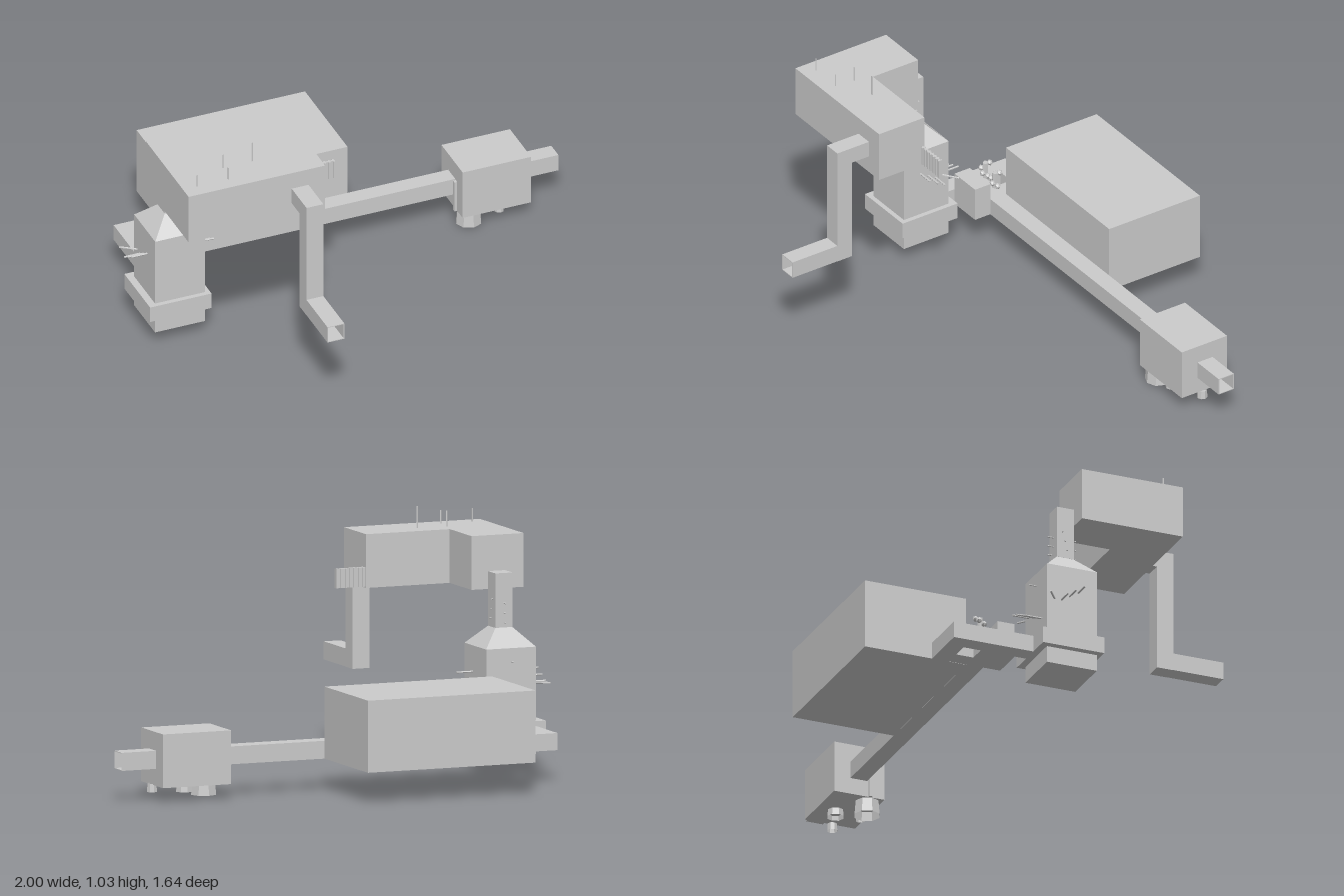
import * as THREE from 'three';

const mat = new THREE.MeshStandardMaterial({ color: 0xcccccc, flatShading: true, side: THREE.DoubleSide });

export function createModel() {
  const root = new THREE.Group();

  const add = (name, geo, parent = root) => {
    const m = new THREE.Mesh(geo, mat);
    m.name = name;
    parent.add(m);
    return m;
  };
  // Box given by its limits on each axis
  const block = (name, [x0, x1], [y0, y1], [z0, z1], parent) => {
    const m = add(name, new THREE.BoxGeometry(x1 - x0, y1 - y0, z1 - z0), parent);
    m.position.set((x0 + x1) / 2, (y0 + y1) / 2, (z0 + z1) / 2);
    return m;
  };
  // Thin round rod between two points
  const rod = (name, a, b, r = 0.003, parent = root) => {
    const p = new THREE.Vector3(...a), q = new THREE.Vector3(...b);
    const m = add(name, new THREE.CylinderGeometry(r, r, p.distanceTo(q), 6), parent);
    m.position.copy(p).add(q).multiplyScalar(0.5);
    m.quaternion.setFromUnitVectors(new THREE.Vector3(0, 1, 0), q.sub(p).normalize());
    return m;
  };
  // Polygon outline, with optional holes, extruded along z
  const outline = (pts) => pts.map(([x, y]) => new THREE.Vector2(x, y));
  const prism = (pts, depth, holes = []) => {
    const s = new THREE.Shape(outline(pts));
    holes.forEach((h) => s.holes.push(new THREE.Path(outline(h))));
    return new THREE.ExtrudeGeometry(s, { depth, bevelEnabled: false });
  };
  // Open square duct running along z
  const square = (h) => [[-h, -h], [h, -h], [h, h], [-h, h]];
  const duct = (length) => prism(square(0.037), length, [square(0.034)]);

  // Tower: shaft, collar, tapered roof and neck
  const tower = new THREE.Group();
  tower.name = 'tower';
  root.add(tower);
  block('towerShaft', [-0.93, -0.71], [0.06, 0.5], [-0.15, 0.07], tower);
  block('towerCollar', [-0.96, -0.69], [0.13, 0.2], [-0.18, 0.09], tower);
  const taper = new THREE.CylinderGeometry(0.0375 * Math.SQRT2, 0.11 * Math.SQRT2, 0.075, 4);
  taper.rotateY(Math.PI / 4);
  add('towerTaper', taper, tower).position.set(-0.82, 0.5375, -0.038);
  block('towerNeck', [-0.858, -0.783], [0.575, 0.798], [-0.075, 0], tower);
  block('neckElbow', [-0.858, -0.783], [0.725, 0.798], [-0.005, 0.02], tower);

  // Rods sticking out of the tower sides and neck
  for (const z of [-0.085, -0.05, -0.012]) {
    const y = 0.37 + (z + 0.05) * 0.6;
    rod('sideRod', [-1, y, z], [-0.92, y, z], 0.004, tower);
    rod('sideRod', [-0.72, y, z], [-0.638, y, z], 0.004, tower);
  }
  [-0.88, -0.85, -0.82, -0.79, -0.75].forEach((x, i) => {
    const y = 0.275 + i * 0.014;
    rod('backRod', [x, y, -0.14], [x, y, -0.225], 0.004, tower);
  });
  rod('backRodUpper', [-0.82, 0.445, -0.14], [-0.82, 0.445, -0.18], 0.003, tower);
  for (const s of [-1, 1]) {
    rod('cornerRod', [-0.82 + s * 0.1, 0.35, -0.11], [-0.82 + s * 0.17, 0.35, -0.16], 0.004, tower);
  }
  [0.6, 0.64, 0.68].forEach((y, i) => {
    rod('neckRodAcross', [-0.865, y + 0.01, -0.03 - i * 0.01], [-0.775, y + 0.01, -0.03 - i * 0.01], 0.003, tower);
    rod('neckRodThrough', [-0.82, y - 0.005, -0.1], [-0.82, y - 0.005, 0.025], 0.003, tower);
  });

  // L-shaped upper hall, its plan drawn in x and -z
  const hall = prism([[-0.94, 0], [-0.94, -0.445], [-0.34, -0.445], [-0.34, -0.222], [-0.71, -0.222], [-0.71, 0]], 0.22);
  hall.rotateX(-Math.PI / 2);
  add('upperHall', hall).position.y = 0.725;
  [[-0.88, 1, 0.385], [-0.74, 1, 0.385], [-0.73, 1.01, 0.3], [-0.6, 1.035, 0.3]].forEach(([x, y, z]) => {
    rod('mast', [x, 0.94, z], [x, y, z], 0.003);
  });

  // Slatted strip beside the upper hall
  block('stripPanel', [-0.34, -0.21], [0.73, 0.81], [0.228, 0.236]);
  for (let i = 0; i < 7; i++) {
    const x = -0.335 + i * 0.0195;
    block('stripSlat', [x, x + 0.008], [0.73, 0.81], [0.223, 0.241]);
  }

  // Stepped drop duct in front, open at its low end
  block('dropDuctTop', [-0.487, -0.413], [0.8, 0.87], [0.44, 0.6]);
  block('dropDuctShaft', [-0.487, -0.413], [0.35, 0.8], [0.527, 0.6]);
  add('dropDuctOutlet', duct(0.22)).position.set(-0.45, 0.388, 0.6);

  // Large hall at the back
  block('largeHall', [-0.635, 0.105], [0.13, 0.425], [-0.825, -0.38]);

  // Passages joining the tower, the large hall and the long corridor
  block('towerPassage', [-0.86, -0.785], [0.13, 0.2], [-0.53, -0.15]);
  block('backPassage', [-0.785, -0.635], [0.13, 0.2], [-0.53, -0.455]);
  block('innerPassage', [-0.71, -0.637], [0.13, 0.2], [-0.455, -0.305]);
  block('crossPassage', [-0.785, -0.71], [0.13, 0.2], [-0.38, -0.305]);
  block('gateBlock', [-0.785, -0.638], [0.13, 0.275], [-0.305, -0.23]);

  // Small rounded clusters beside the gate
  [[-0.79, -0.385], [-0.705, -0.375]].forEach(([cx, cz]) => {
    for (let i = 0; i < 5; i++) {
      const a = i * 1.257;
      const blob = add('clusterBlob', new THREE.IcosahedronGeometry(0.013, 0));
      blob.position.set(cx + 0.018 * Math.cos(a), 0.215 + i * 0.013, cz + 0.018 * Math.sin(a));
    }
    rod('clusterStem', [cx, 0.19, cz], [cx, 0.27, cz], 0.012);
  });

  // Long corridor with an open far end
  block('corridor', [-0.637, 0.6], [0.13, 0.203], [-0.379, -0.305]);
  const end = add('corridorEnd', duct(0.2));
  end.rotation.y = Math.PI / 2;
  end.position.set(0.8, 0.167, -0.342);

  // End cabin with hanging cups and small feet below it
  block('endCabin', [0.547, 0.848], [0.06, 0.28], [-0.45, -0.228]);
  const cup = (name, x, z, r, y0) => {
    const h = 0.065 - y0;
    const m = add(name, new THREE.CylinderGeometry(r * 0.9, r, h, 8, 1, true));
    m.position.set(x, y0 + h / 2, z);
    const inner = add(name + 'Floor', new THREE.CylinderGeometry(r * 0.85, r * 0.85, 0.004, 8));
    inner.position.set(x, y0 + h * 0.6, z);
  };
  cup('largeCup', 0.597, -0.284, 0.055, 0);
  cup('middleCup', 0.72, -0.37, 0.036, 0.03);
  cup('smallCup', 0.845, -0.33, 0.022, 0.03);
  cup('smallCup', 0.72, -0.26, 0.02, 0.035);
  block('cabinSidePlate', [0.535, 0.55], [0.06, 0.2], [-0.3, -0.285]);

  return root;
}
